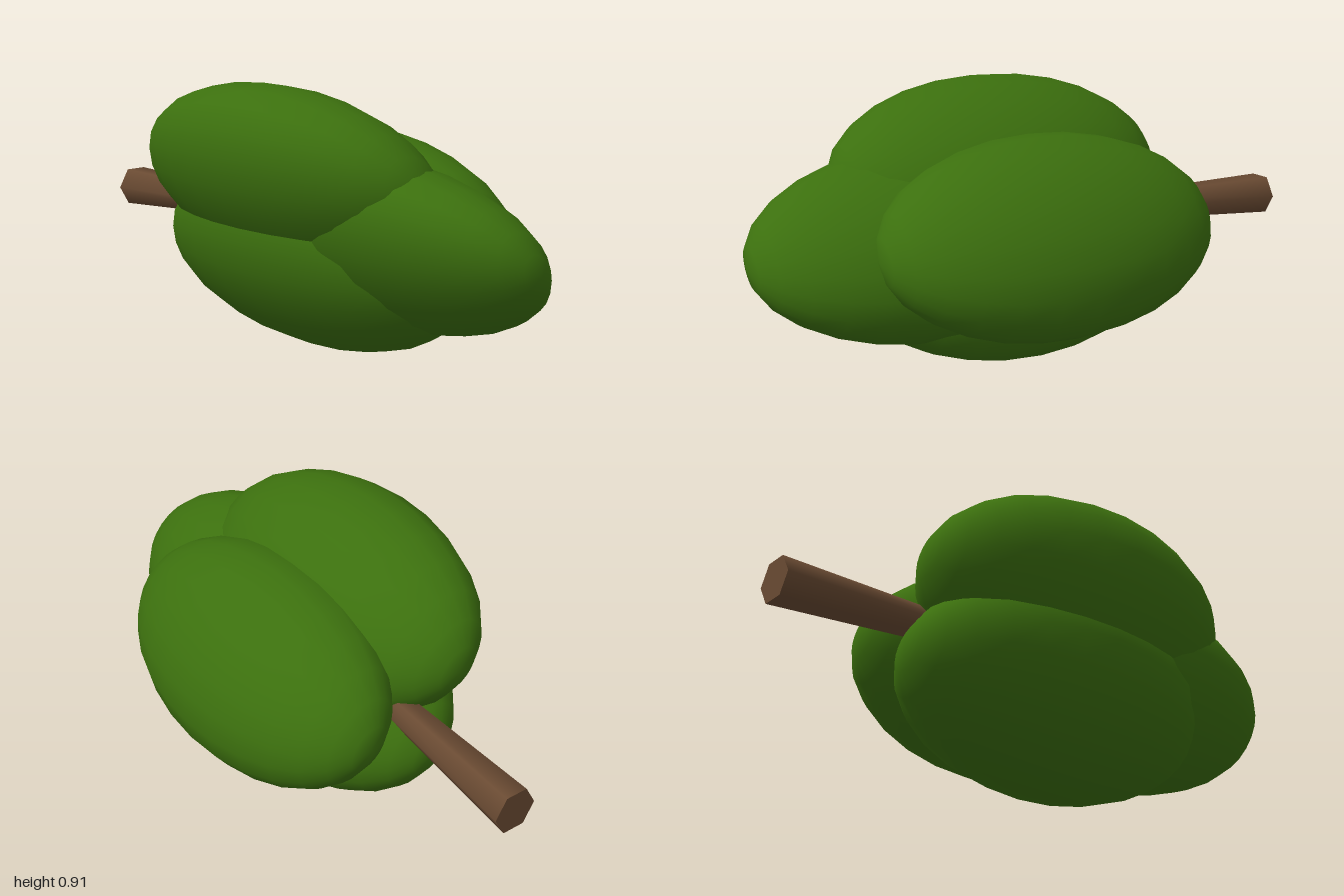
import * as THREE from 'three';

export function createModel() {
  const model = new THREE.Group();
  const green = new THREE.MeshStandardMaterial({ color: 0x3c700e });
  const brown = new THREE.MeshStandardMaterial({ color: 0x694a32 });

  // Unit ball with its poles along z, shared by all lobes
  const ball = new THREE.SphereGeometry(1, 20, 14).rotateX(Math.PI / 2);

  // Overlapping flattened lobes: centre, half sizes, tilt about z in degrees
  const lobes = [
    ['upperLobe', [-0.16, 0.595, 0.05], [0.364, 0.255, 0.62], -45],
    ['sideLobe', [0.185, 0.443, 0.05], [0.355, 0.241, 0.62], -51],
    ['lowerLobe', [-0.066, 0.31, 0.05], [0.364, 0.254, 0.62], -45],
    ['frontLobe', [-0.055, 0.415, 0.38], [0.346, 0.231, 0.62], -46],
  ];
  for (const [name, centre, size, tilt] of lobes) {
    const lobe = new THREE.Mesh(ball, green);
    lobe.name = name;
    lobe.position.set(...centre);
    lobe.scale.set(...size);
    lobe.rotation.z = THREE.MathUtils.degToRad(tilt);
    model.add(lobe);
  }

  // Six-sided stem, widening and drifting slightly towards its free end
  const inner = new THREE.Vector3(-0.033, 0.438, -0.3);
  const outer = new THREE.Vector3(-0.005, 0.412, -1);
  const length = inner.z - outer.z;
  const stemShape = new THREE.CylinderGeometry(0.046, 0.076, length, 6)
    .rotateY(Math.PI / 6)
    .rotateX(Math.PI / 2);
  const p = stemShape.attributes.position;
  for (let i = 0; i < p.count; i++) {
    const t = p.getZ(i) / length; // -0.5 at the free end, 0.5 inside the lobes
    p.setX(i, p.getX(i) + t * (inner.x - outer.x));
    p.setY(i, p.getY(i) + t * (inner.y - outer.y));
  }
  stemShape.computeBoundingSphere();
  const stem = new THREE.Mesh(stemShape, brown);
  stem.name = 'stem';
  stem.position.copy(inner).add(outer).multiplyScalar(0.5);
  model.add(stem);

  return model;
}
